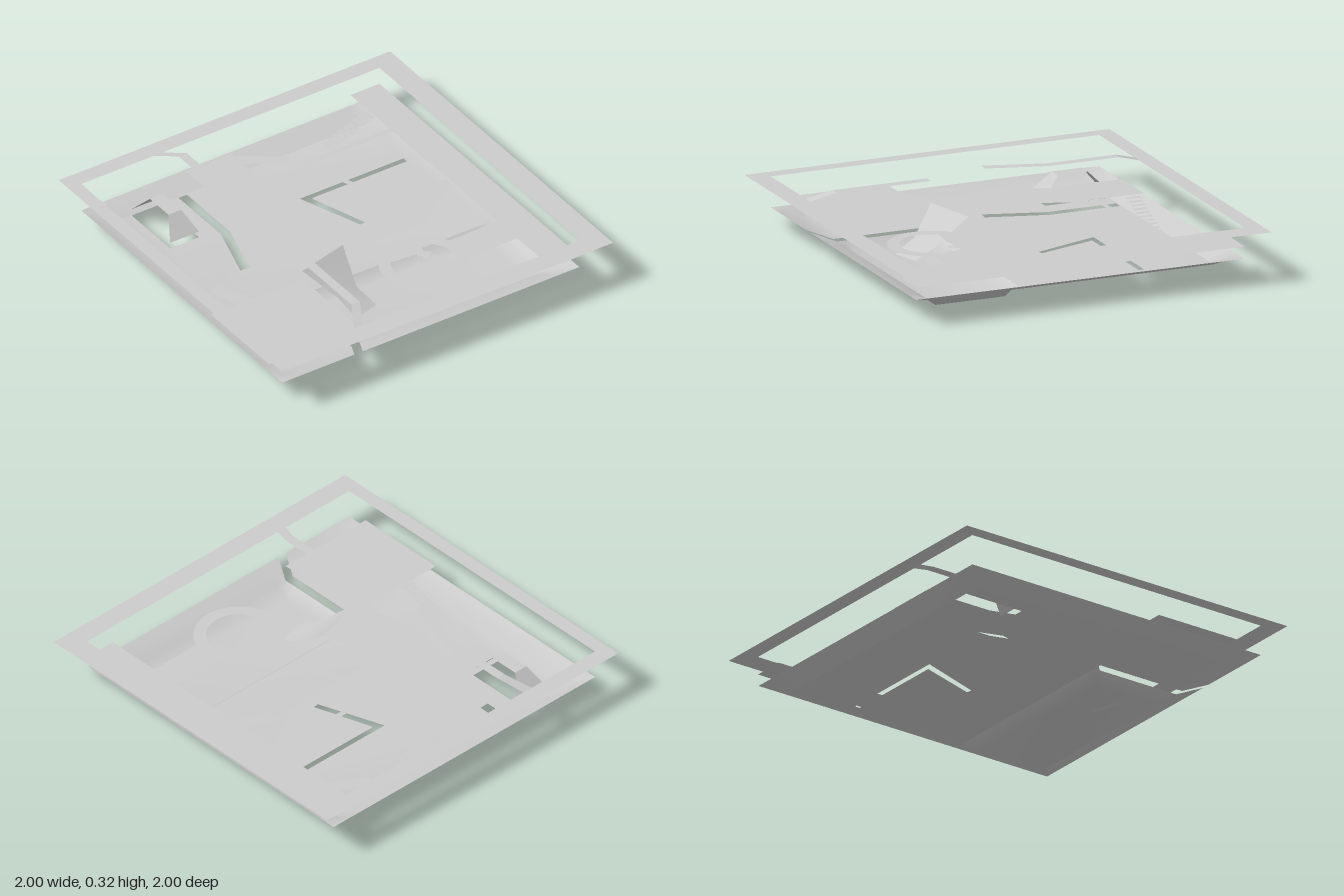
import * as THREE from 'three';
import { mergeGeometries, mergeVertices } from 'three/addons/utils/BufferGeometryUtils.js';

const material = new THREE.MeshStandardMaterial({ color: 0xcccccc, side: THREE.DoubleSide });

// Horizontal polygon from [x, z] points at height y, with optional holes
function flat(points, y, holes = []) {
  const toV2 = (list) => list.map(([x, z]) => new THREE.Vector2(x, -z));
  const shape = new THREE.Shape(toV2(points));
  shape.holes = holes.map((h) => new THREE.Path(toV2(h)));
  return new THREE.ShapeGeometry(shape).rotateX(-Math.PI / 2).translate(0, y, 0);
}

const rect = (x0, x1, z0, z1) => [[x0, z0], [x0, z1], [x1, z1], [x1, z0]];

// Surface from rows of [x, y, z] points; skip(i, j) leaves a cell open
function sheet(rows, skip = () => false) {
  const n = rows[0].length;
  const index = [];
  for (let j = 0; j < rows.length - 1; j++) {
    for (let i = 0; i < n - 1; i++) {
      if (skip(i, j)) continue;
      const a = j * n + i, b = a + n;
      index.push(a, b, b + 1, a, b + 1, a + 1);
    }
  }
  const g = new THREE.BufferGeometry();
  g.setAttribute('position', new THREE.Float32BufferAttribute(rows.flat(2), 3));
  g.setIndex(index);
  g.computeVertexNormals();
  return g;
}

// Points along an arc in plan, angles measured from +x towards +z
function arc(cx, cz, r, a0, a1, n) {
  return Array.from({ length: n + 1 }, (_, k) => {
    const a = a0 + (a1 - a0) * k / n;
    return [cx + r * Math.cos(a), cz + r * Math.sin(a)];
  });
}

// Straight flight of open treads, running along x or z from height y0 to y1
function stairs([x0, x1, z0, z1], axis, count, y0, y1) {
  const treads = [];
  for (let k = 0; k < count; k++) {
    const y = y0 + (y1 - y0) * (k + 1) / (count + 1);
    const a = k / count, b = (k + 1) / count;
    const lerp = THREE.MathUtils.lerp;
    treads.push(flat(axis === 'x'
      ? rect(lerp(x0, x1, a), lerp(x0, x1, b), z0, z1)
      : rect(x0, x1, lerp(z0, z1, a), lerp(z0, z1, b)), y));
  }
  return mergeGeometries(treads);
}

export function createModel() {
  const model = new THREE.Group();
  const add = (name, geometry) => {
    const mesh = new THREE.Mesh(geometry, material);
    mesh.name = name;
    model.add(mesh);
  };

  const FLOOR = 0.065, EDGE = 0.11, BASIN = 0.01;
  const FRAME = 0.272, WALL = 0.32, DECK = 0.175, TERRACE = 0.155, WALK = 0.205;

  // Wall footprints, shared by the floor openings and the wall tops
  const backWall = [[-0.425, -0.78], [-0.425, -0.4], [-0.52, -0.085],
    [-0.465, -0.08], [-0.375, -0.395], [-0.375, -0.78]];
  const angledWall = (end) => [[0.075, -0.435], [0.2, -0.08], [0.23, -0.085],
    [0.125, -0.405], [end, -0.405], [end, -0.435]];
  const hut = rect(-0.705, -0.53, -0.79, -0.44);

  // Floor: level back part with openings, raised rim and sunken basin
  const xs = [-0.925, -0.8, -0.425, -0.375, -0.31, 0.68, 0.76, 0.87];
  const zs = [-0.91, -0.79, 0.26, 0.32, 0.7, 0.77, 0.89];
  const rows = zs.map((z, j) => xs.map((x, i) => {
    const zRim = j === 0 || j === 6;
    const rim = zRim || i === 0 || i === 7;
    const basin = (i === 4 || i === 5) && (j === 3 || j === 4);
    const shift = zRim && (i === 2 || i === 3) ? -0.063 : 0;
    return [x + shift, rim ? EDGE : basin ? BASIN : FLOOR, z];
  }));
  const bowl = sheet(rows, (i, j) => (j === 1 && i > 0 && i < 6) || (j > 1 && i === 2));
  const level = flat(rect(-0.8, 0.76, -0.79, 0.26), FLOOR,
    [backWall, angledWall(0.7), rect(-0.705, -0.53, -0.785, -0.44)]);
  level.deleteAttribute('uv');
  const floor = mergeVertices(mergeGeometries([bowl, level].map((g) => g.deleteAttribute('normal'))));
  floor.computeVertexNormals();
  add('floor', floor);

  // Outer frame
  add('outerFrame', flat(rect(-1, 1, -1, 1), FRAME, [rect(-0.925, 0.875, -0.91, 0.89)]));

  // Wall tops, with sloping ends that meet the frame
  add('backWallTop', flat(backWall, WALL));
  add('frontWallTop', flat(rect(-0.425, -0.375, 0.255, 0.77), WALL));
  add('angledWallTop', flat(angledWall(0.75), 0.28));
  add('backWallEnd', sheet([
    [[-0.49, FRAME, -0.91], [-0.435, FRAME, -0.91]],
    [[-0.425, WALL, -0.78], [-0.375, WALL, -0.78]]]));
  add('frontWallEnd', sheet([
    [[-0.425, WALL, 0.77], [-0.375, WALL, 0.77]],
    [[-0.49, FRAME, 0.89], [-0.435, FRAME, 0.89]]]));

  // Left terrace
  add('terrace', flat(rect(-0.925, -0.375, 0.255, 0.77), TERRACE));

  // Raised walkway and the ramp down into the basin
  add('walkway', flat([[-0.375, -0.79], [-0.375, -0.395], [-0.465, -0.08], [-0.375, 0.255],
    [-0.08, 0.18], [-0.175, -0.16], [-0.1, -0.4], [-0.1, -0.79]], WALK));
  add('ramp', sheet([
    [[-0.375, WALK, 0.255], [-0.08, WALK, 0.18]],
    [[-0.255, 0.075, 0.4], [-0.11, 0.06, 0.345]],
    [[-0.22, 0, 0.535], [-0.07, 0, 0.495]]]));

  // Side deck joined by a bridge to the round tower top with its stairwell
  const cx = 0.195, cz = 0.5, R = 0.23;
  const gap = Math.asin(0.0875 / R);
  const well = arc(cx, cz, 0.168, -Math.PI * 0.42, Math.PI * 1.19, 40);
  well.push([0.21, 0.42]);
  add('deck', flat([[0.7, -0.91], [0.7, 0.41],
    ...arc(cx, cz, R, -gap, -2 * Math.PI + gap, 48),
    [0.7, 0.585], [0.7, 0.89], [0.875, 0.89], [0.875, -0.91]], DECK, [well]));

  // Curved stairs inside the tower
  const steps = 9, treads = [];
  for (let k = 0; k < steps; k++) {
    const a0 = -1.35 + 2.95 * k / steps, a1 = -1.35 + 2.95 * (k + 1) / steps;
    treads.push(flat([...arc(cx, cz, 0.148, a0, a1, 2), ...arc(cx, cz, 0.078, a1, a0, 2)],
      DECK + (BASIN - DECK) * (k + 1) / (steps + 1)));
  }
  add('towerStairs', mergeGeometries(treads));

  // Straight stairs
  add('walkwayStairs', stairs([-0.1, 0.22, -0.765, -0.69], 'x', 11, WALK, FLOOR));
  add('deckStairsBack', stairs([0.43, 0.7, -0.765, -0.69], 'x', 9, FLOOR, DECK));
  add('deckStairsMiddle', stairs([0.43, 0.7, -0.05, 0.025], 'x', 9, FLOOR, DECK));
  add('terraceStairs', stairs([-0.755, -0.68, -0.02, 0.255], 'z', 9, FLOOR, TERRACE));

  // Hut roof: flat top with a sloping face at the back and the front
  const [x0, x1, rx0, rx1] = [hut[0][0], hut[2][0], -0.655, -0.578];
  add('hutRoof', flat(rect(rx0, rx1, -0.695, -0.53), 0.2));
  add('hutBackSlope', sheet([
    [[x0, 0.1, -0.79], [x1, 0.1, -0.79]], [[rx0, 0.2, -0.695], [rx1, 0.2, -0.695]]]));
  add('hutFrontSlope', sheet([
    [[rx0, 0.2, -0.53], [rx1, 0.2, -0.53]], [[x0, 0.1, -0.44], [x1, 0.1, -0.44]]]));

  return model;
}
